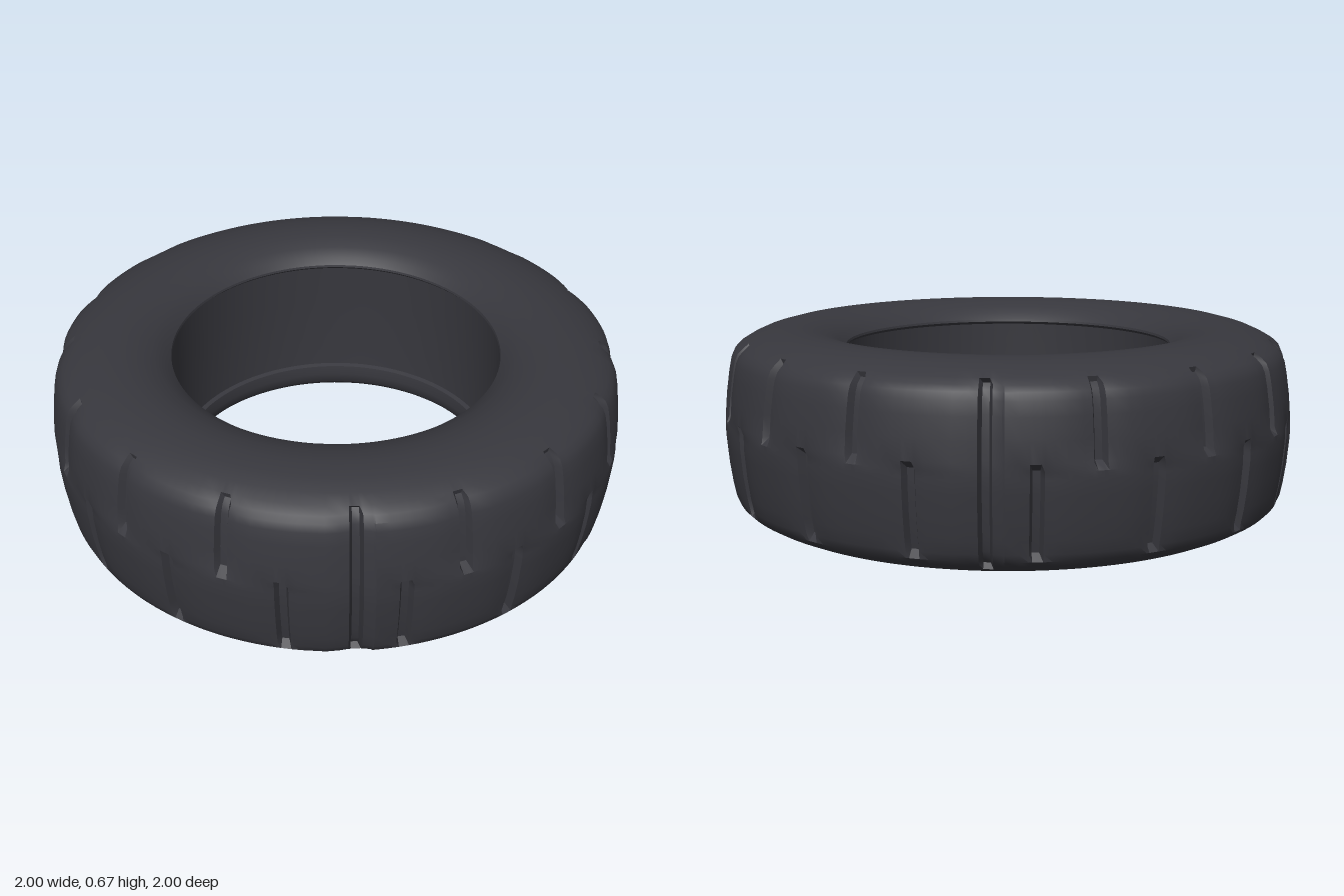
import * as THREE from 'three';
import { toCreasedNormals } from 'three/addons/utils/BufferGeometryUtils.js';

const MID = 0.335; // half the tyre width
const SLOTS = 32; // groove positions round the tread, alternating upper and lower
// column angles within each slot, in degrees from the groove centre
const OFFSETS = [-5.625, -3, -1.3, -0.7, 0.7, 1.3, 3];

// radial depth cut at a slot, for a height measured from the centre line
function grooveDepth(slot, h) {
  if (slot % 8 === 4) return Math.abs(h) < 0.285 ? 0.045 : 0; // full-width groove
  if (slot % 2 === 0) return h > 0.04 && h < 0.28 ? 0.033 : 0; // upper groove
  return h < 0.03 && h > -0.25 ? 0.033 : 0; // lower groove
}

// full-width grooves sit slightly towards the front and back
function slotShift(slot) {
  if (slot % 8 !== 4) return 0;
  return slot % 16 === 4 ? -2.2 : 2.2;
}

// revolve a profile of [radius, height from centre], optionally cutting grooves
function revolve(profile, grooved) {
  const columns = SLOTS * OFFSETS.length;
  const points = profile.map(([r, h]) => new THREE.Vector2(r, h + MID));
  const geometry = new THREE.LatheGeometry(points, columns);
  const pos = geometry.attributes.position;
  for (let i = 0; i <= columns; i++) {
    const slot = Math.floor(i / OFFSETS.length) % SLOTS;
    const offset = OFFSETS[i % OFFSETS.length];
    const angle = THREE.MathUtils.degToRad(slot * 360 / SLOTS + offset + slotShift(slot));
    // full cut at the floor, soft shoulder beside it
    const side = Math.abs(offset);
    const cut = side < 1 ? 1 : side < 2 ? 0.25 : side < 4 ? 0.12 : 0;
    profile.forEach(([r, h], j) => {
      const radius = r - (grooved && r > 0.92 ? cut * grooveDepth(slot, h) : 0);
      pos.setXYZ(i * profile.length + j, radius * Math.sin(angle), h + MID, radius * Math.cos(angle));
    });
  }
  return toCreasedNormals(geometry, 0.6);
}

export function createModel() {
  const group = new THREE.Group();
  const rubber = new THREE.MeshStandardMaterial({ color: 0x37373d });
  rubber.name = 'dark rubber';

  // tread, shoulders and sidewalls: upper half profile, mirrored below
  const upper = [
    [1, 0], [1, 0.025], [0.998, 0.05], [0.992, 0.12], [0.982, 0.19], [0.973, 0.235],
    [0.962, 0.26], [0.944, 0.278], [0.915, 0.295], [0.875, 0.313], [0.82, 0.328],
    [0.75, 0.335], [0.69, 0.329], [0.635, 0.311], [0.598, 0.29], [0.574, 0.268],
  ];
  const lower = upper.slice(1).reverse().map(([r, h]) => [r, -h]);
  const shell = new THREE.Mesh(revolve([...lower, ...upper], true), rubber);
  shell.name = 'treadAndSidewalls';
  group.add(shell);

  // inner wall, set back slightly between the two bead lips
  const bore = [
    [0.574, 0.268], [0.572, 0.26], [0.583, 0.25], [0.586, 0.1], [0.586, -0.1],
    [0.582, -0.185], [0.566, -0.19], [0.561, -0.225], [0.565, -0.25], [0.574, -0.268],
  ];
  const inner = new THREE.Mesh(revolve(bore, false), rubber);
  inner.name = 'innerWall';
  group.add(inner);

  return group;
}
